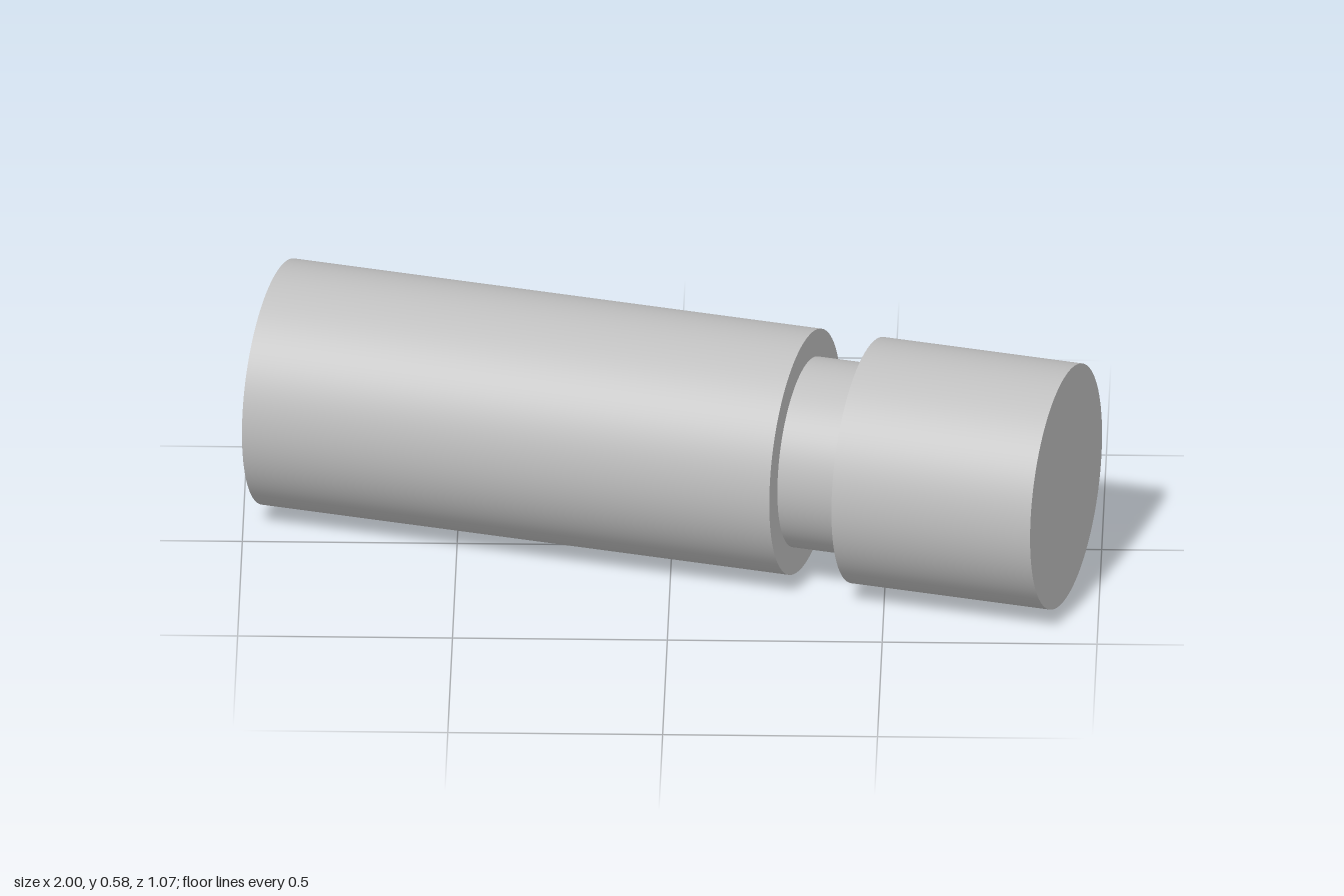
import * as THREE from 'three';

const R = 0.289;

export function createModel() {
  const group = new THREE.Group();
  const grey = new THREE.MeshStandardMaterial({ color: 0xbfbfbf });
  grey.name = 'light grey';

  // round section lying along x between two stations
  const section = (name, from, to, radius) => {
    const geometry = new THREE.CylinderGeometry(radius, radius, to - from, 96);
    geometry.rotateZ(-Math.PI / 2);
    const mesh = new THREE.Mesh(geometry, grey);
    mesh.name = name;
    mesh.position.x = (from + to) / 2;
    return mesh;
  };

  // long body, narrow groove and short head on one shaft
  const pin = new THREE.Group();
  pin.name = 'groovedPin';
  pin.add(
    section('body', -0.958, 0.324, R),
    section('neck', 0.324, 0.475, 0.224),
    section('head', 0.475, 0.958, R)
  );

  // the shaft lies flat, its head turned towards the front
  pin.position.y = R;
  pin.rotation.y = THREE.MathUtils.degToRad(-15.6);
  group.add(pin);
  return group;
}
